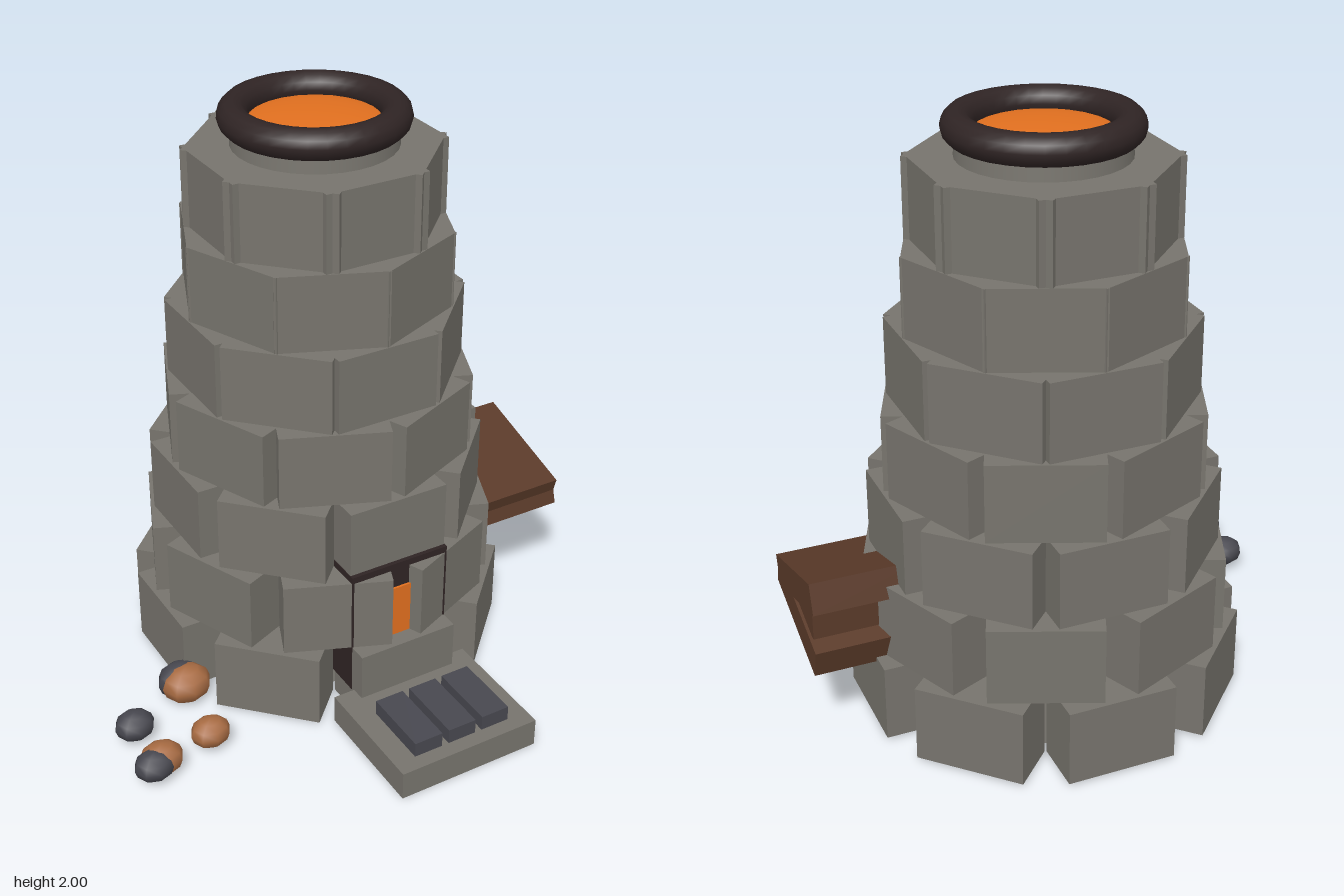
import * as THREE from 'three';

const mat = (name, color, opts = {}) => {
  const m = new THREE.MeshStandardMaterial({ color, ...opts });
  m.name = name;
  return m;
};

export function createModel() {
  const stone = mat('stone', 0x77746d);
  const stoneShell = mat('stone shell', 0x77746d, { side: THREE.DoubleSide });
  const iron = mat('dark iron', 0x2f2424);
  const glow = mat('molten orange', 0xe2701f);
  const wood = mat('wood', 0x5a3a29);
  const coal = mat('coal', 0x484850);
  const ore = mat('copper ore', 0xa96c43);

  const model = new THREE.Group();
  model.name = 'furnace';
  const add = (parent, name, geometry, material, x, y, z) => {
    const mesh = new THREE.Mesh(geometry, material);
    mesh.name = name;
    mesh.position.set(x, y, z);
    parent.add(mesh);
    return mesh;
  };
  const box = (parent, name, material, [x0, x1], [y0, y1], [z0, z1]) =>
    add(parent, name, new THREE.BoxGeometry(x1 - x0, y1 - y0, z1 - z0), material,
      (x0 + x1) / 2, (y0 + y1) / 2, (z0 + z1) / 2);

  // Tower: seven courses of eight blocks, every other course turned half a block
  const tower = new THREE.Group();
  tower.name = 'tower';
  tower.position.set(0.075, 0, -0.195);
  model.add(tower);
  const courseHeight = 0.263, depth = 0.18;
  for (let c = 0; c < 7; c++) {
    const course = new THREE.Group();
    course.name = `stoneCourse${c + 1}`;
    tower.add(course);
    const radius = 0.63 - 0.04 * c;
    const geometry = new THREE.BoxGeometry(0.366, courseHeight, depth);
    for (let i = 0; i < 8; i++) {
      const a = (i + (c % 2) / 2) * Math.PI / 4;
      const r = radius - depth / 2;
      const block = add(course, 'stoneBlock', geometry, stone,
        Math.sin(a) * r, 0.015 + courseHeight * (c + 0.5), Math.cos(a) * r);
      block.rotation.y = a;
    }
  }

  // Hollow flue, rim and molten surface
  add(tower, 'flue', new THREE.CylinderGeometry(0.268, 0.45, 1.9, 32, 1, true), stoneShell, 0, 0.97, 0);
  const rim = add(tower, 'rim', new THREE.TorusGeometry(0.262, 0.051, 12, 32), iron, 0, 1.949, 0);
  rim.rotation.x = Math.PI / 2;
  const pool = add(tower, 'moltenPool', new THREE.SphereGeometry(0.235, 24, 12), glow, 0, 1.92, 0);
  pool.scale.y = 0.15;

  // Fire mouth behind the front blocks
  box(model, 'mouthFrame', iron, [-0.11, 0.26], [0.1, 0.565], [0.18, 0.37]);
  box(model, 'mouthGlow', glow, [-0.04, 0.19], [0.12, 0.47], [0.37, 0.378]);

  // Hearth slab with three coal bars
  const hearth = new THREE.Group();
  hearth.name = 'hearth';
  model.add(hearth);
  box(hearth, 'hearthSlab', stone, [-0.185, 0.335], [0.005, 0.107], [0.385, 0.82]);
  for (const x of [-0.055, 0.075, 0.205])
    box(hearth, 'coalBar', coal, [x - 0.052, x + 0.052], [0.1, 0.16], [0.525, 0.768]);

  // Bellows: two boards meeting at the front, with a bar between them
  const bellows = new THREE.Group();
  bellows.name = 'bellows';
  model.add(bellows);
  for (const s of [1, -1]) {
    const board = add(bellows, 'bellowsBoard', new THREE.BoxGeometry(0.38, 0.104, 0.433), wood,
      0.72, 0.43 + s * 0.06, -0.1);
    board.rotation.x = s * 0.285;
  }
  box(bellows, 'bellowsBar', wood, [0.53, 0.9], [0.38, 0.48], [-0.27, 0.08]);

  // Lumps of ore and coal beside the tower: x, z, scale, material
  const lumps = new THREE.Group();
  lumps.name = 'lumps';
  model.add(lumps);
  const lump = new THREE.SphereGeometry(1, 8, 6);
  for (const [x, z, s, m] of [
    [-0.815, 0.14, 1, coal], [-0.61, 0.295, 1, ore],
    [-0.805, 0.33, 1.08, ore], [-0.84, 0.35, 1, coal],
    [-0.57, 0.03, 1.27, ore], [-0.578, 0.005, 1.22, coal],
  ]) {
    const mesh = add(lumps, m === ore ? 'oreLump' : 'coalLump', lump, m, x, 0.075, z);
    mesh.scale.set(0.07 * s, 0.054 * s, 0.059 * s);
  }
  return model;
}
